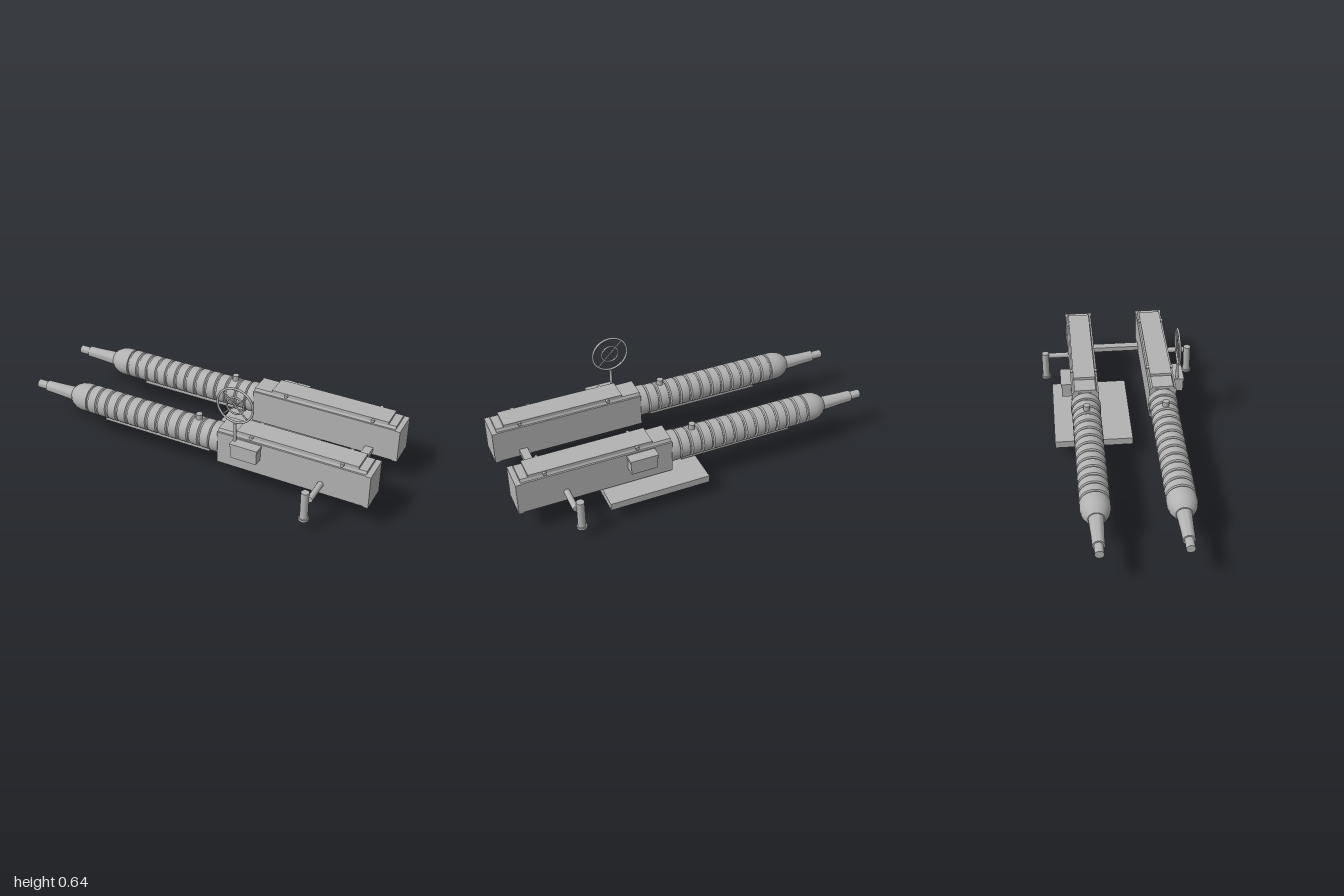
import * as THREE from 'three';
import { toCreasedNormals } from 'three/addons/utils/BufferGeometryUtils.js';

const steel = new THREE.MeshStandardMaterial({ color: 0xb2b2b2 });
steel.name = 'steel';

function add(parent, name, geometry, x = 0, y = 0, z = 0) {
  const mesh = new THREE.Mesh(geometry, steel);
  mesh.name = name;
  mesh.position.set(x, y, z);
  parent.add(mesh);
  return mesh;
}

// Box given by its limits on each axis
function box(parent, name, [x0, x1], [y0, y1], [z0, z1]) {
  return add(parent, name, new THREE.BoxGeometry(x1 - x0, y1 - y0, Math.abs(z1 - z0)),
    (x0 + x1) / 2, (y0 + y1) / 2, (z0 + z1) / 2);
}

// Turned part along x; points are [x, radius]
function turned(points) {
  const g = new THREE.LatheGeometry(points.map(([x, r]) => new THREE.Vector2(r, x)), 28);
  g.rotateZ(-Math.PI / 2);
  return toCreasedNormals(g, 0.5);
}

// Constant section along x; points are [z, y]
function prism(points, x0, x1) {
  const shape = new THREE.Shape(points.map(([z, y]) => new THREE.Vector2(-z, y)));
  const g = new THREE.ExtrudeGeometry(shape, { depth: x1 - x0, bevelEnabled: false });
  g.rotateY(Math.PI / 2);
  g.translate(x0, 0, 0);
  return g;
}

// One gun, built around z = 0 with its outer side towards +z * side
function gun(side) {
  const g = new THREE.Group();
  const axisY = 0.25;

  // Barrel with stepped muzzle
  add(g, 'barrel', turned([[-1, 0], [-1, 0.023], [-0.94, 0.023], [-0.94, 0.031],
    [-0.87, 0.033], [-0.76, 0.039], [-0.74, 0.039]]), 0, axisY - 0.002);

  // Ribbed cooling jacket
  const profile = [[-0.76, 0], [-0.76, 0.042], [-0.745, 0.057], [-0.72, 0.071],
    [-0.69, 0.078], [-0.645, 0.078]];
  const ribs = 12, pitch = 0.063;
  for (let i = 0; i < ribs; i++) {
    const x = -0.635 + i * pitch;
    profile.push([x - 0.007, 0.071], [x, 0.071], [x + 0.004, 0.079], [x + pitch - 0.013, 0.079]);
  }
  profile.push([0.114, 0.071], [0.12, 0.071], [0.12, 0.083], [0.168, 0.083], [0.168, 0]);
  add(g, 'coolingJacket', turned(profile), 0, axisY);
  add(g, 'fillerCap', new THREE.CylinderGeometry(0.018, 0.018, 0.04, 20), 0.022, 0.337);
  box(g, 'lowerRail', [-0.555, 0.09], [0.148, 0.175], [-0.018, 0.018]);

  // Receiver with chamfered underside and rear plate
  add(g, 'receiver', prism([[-0.046, 0.133], [0.046, 0.133], [0.062, 0.147], [0.075, 0.147],
    [0.075, 0.333], [-0.075, 0.333], [-0.075, 0.147], [-0.062, 0.147]], 0.165, 0.975));
  box(g, 'rearPlate', [0.972, 1], [0.146, 0.333], [-0.079, 0.079]);

  // Feed cover and its hinge pins
  add(g, 'coverBase', prism([[-0.066, 0.333], [0.066, 0.333], [0.058, 0.349], [-0.058, 0.349]], 0.167, 0.972));
  box(g, 'feedCover', [0.27, 0.93], [0.345, 0.364], [-0.061, 0.061]);
  for (const x of [0.355, 0.847]) {
    const pin = add(g, 'hingePin', new THREE.CylinderGeometry(0.01, 0.01, 0.15, 12), x, 0.352);
    pin.rotation.x = Math.PI / 2;
  }

  // Side feed box with lid
  box(g, 'feedBox', [0.27, 0.412], [0.24, 0.315], [0.07 * side, 0.127 * side]);
  box(g, 'feedBoxLid', [0.263, 0.417], [0.31, 0.326], [0.07 * side, 0.132 * side]);

  // Side handle with hanging grip
  const arm = add(g, 'handleArm', new THREE.CylinderGeometry(0.016, 0.016, 0.145, 16), 0.744, 0.203, 0.142 * side);
  arm.rotation.x = Math.PI / 2;
  add(g, 'handleGrip', new THREE.CylinderGeometry(0.021, 0.021, 0.162, 20), 0.719, 0.157, 0.212 * side);
  add(g, 'gripFlange', new THREE.CylinderGeometry(0.027, 0.027, 0.013, 20), 0.719, 0.0745, 0.212 * side);
  return g;
}

// Ring sight standing on a post
function ringSight() {
  const s = new THREE.Group();
  s.name = 'ringSight';
  const y = 0.537, R = 0.098;
  add(s, 'sightPost', new THREE.CylinderGeometry(0.008, 0.008, 0.11, 14), 0, 0.377);
  add(s, 'outerRing', new THREE.TorusGeometry(R, 0.006, 10, 48), 0, y);
  add(s, 'innerRing', new THREE.TorusGeometry(0.047, 0.005, 10, 36), 0, y);
  for (const a of [Math.PI / 4, -Math.PI / 4]) {
    add(s, 'sightSpoke', new THREE.CylinderGeometry(0.004, 0.004, 2 * R, 8), 0, y).rotation.z = a;
  }
  s.position.set(0.275, 0, 0.3);
  return s;
}

export function createModel() {
  const model = new THREE.Group();
  model.name = 'twinGunMount';

  const leftGun = gun(1);
  leftGun.name = 'frontGun';
  leftGun.position.z = 0.208;
  const rearGun = gun(-1);
  rearGun.name = 'backGun';
  rearGun.position.z = -0.222;
  model.add(leftGun, rearGun, ringSight());

  // Mount: cross bar, plate and pedestal block
  box(model, 'crossBar', [0.82, 0.865], [0.162, 0.19], [-0.16, 0.145]);
  box(model, 'mountPlate', [0, 0.55], [0.09, 0.131], [-0.402, 0.027]);
  box(model, 'pedestalBlock', [0.19, 0.36], [0, 0.092], [-0.276, -0.102]);
  return model;
}
